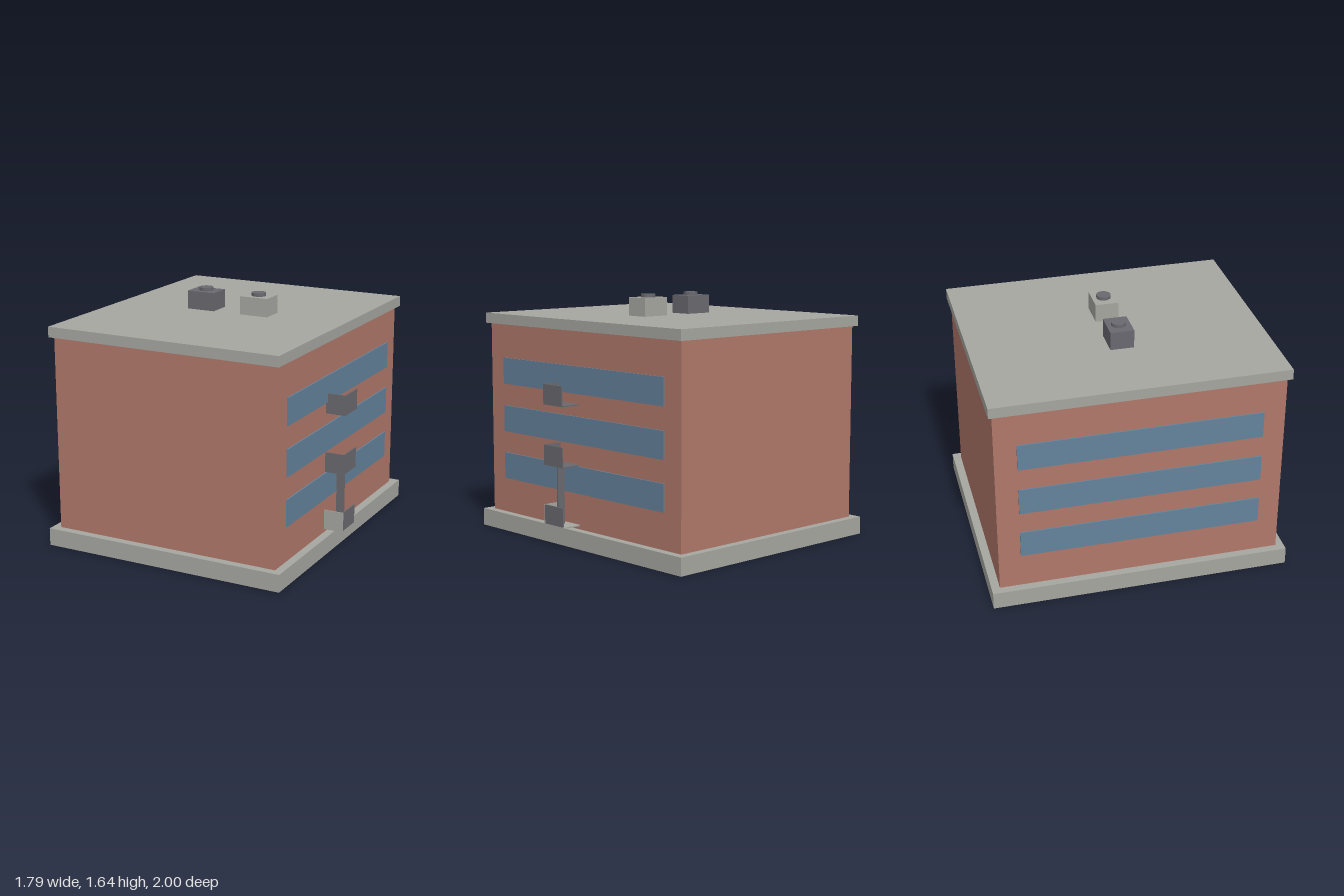
import * as THREE from 'three';

const mat = (color) => new THREE.MeshStandardMaterial({ color });

export function createModel() {
  const model = new THREE.Group();
  const brick = mat(0xb0786a), concrete = mat(0xa6a6a0), glass = mat(0x64829b);
  const metal = mat(0x6a696f);

  // Box given by its extents on each axis
  const box = (parent, name, material, [x0, x1], [y0, y1], [z0, z1]) => {
    const mesh = new THREE.Mesh(new THREE.BoxGeometry(x1 - x0, y1 - y0, z1 - z0), material);
    mesh.position.set((x0 + x1) / 2, (y0 + y1) / 2, (z0 + z1) / 2);
    mesh.name = name;
    parent.add(mesh);
    return mesh;
  };

  // Main block
  box(model, 'foundation', concrete, [-0.895, 0.81], [0, 0.118], [-1, 1]);
  box(model, 'brickWalls', brick, [-0.84, 0.755], [0.118, 1.425], [-0.945, 0.945]);
  box(model, 'roofSlab', concrete, [-0.868, 0.783], [1.425, 1.495], [-0.97, 0.97]);

  // Ribbon windows on both long sides, one band per floor
  for (const y of [0.357, 0.685, 1.015]) {
    box(model, 'leftWindowBand', glass, [0.757, 0.767], [y, y + 0.18], [-0.8, 0.8]);
    box(model, 'rightWindowBand', glass, [-0.852, -0.842], [y, y + 0.18], [-0.8, 0.8]);
  }

  // Fire escape: landings with a floor, an outer panel and one side panel
  [[0.14, concrete], [0.54, metal], [0.94, metal]].forEach(([y, material]) => {
    const landing = new THREE.Group();
    landing.name = 'fireEscapeLanding';
    box(landing, 'landingFloor', material, [0.755, 0.89], [y, y + 0.008], [0.013, 0.207]);
    box(landing, 'outerPanel', metal, [0.882, 0.89], [y + 0.006, y + 0.135], [0.023, 0.207]);
    box(landing, 'sidePanel', material, [0.755, 0.89], [y, y + 0.135], [0.207, 0.213]);
    model.add(landing);
  });
  box(model, 'fireEscapeLadder', metal, [0.8, 0.855], [0.148, 0.54], [0.112, 0.124]);

  // Rooftop ventilation units with round fan caps
  [[-0.243, metal], [0.156, concrete]].forEach(([x, material]) => {
    const unit = new THREE.Group();
    unit.name = 'roofVentUnit';
    box(unit, 'ventBox', material, [x - 0.1, x + 0.1], [1.495, 1.618], [-0.08, 0.077]);
    const cap = new THREE.Mesh(new THREE.CylinderGeometry(0.048, 0.048, 0.022, 32), metal);
    cap.position.set(x, 1.629, -0.002);
    cap.name = 'fanCap';
    unit.add(cap);
    model.add(unit);
  });

  return model;
}
